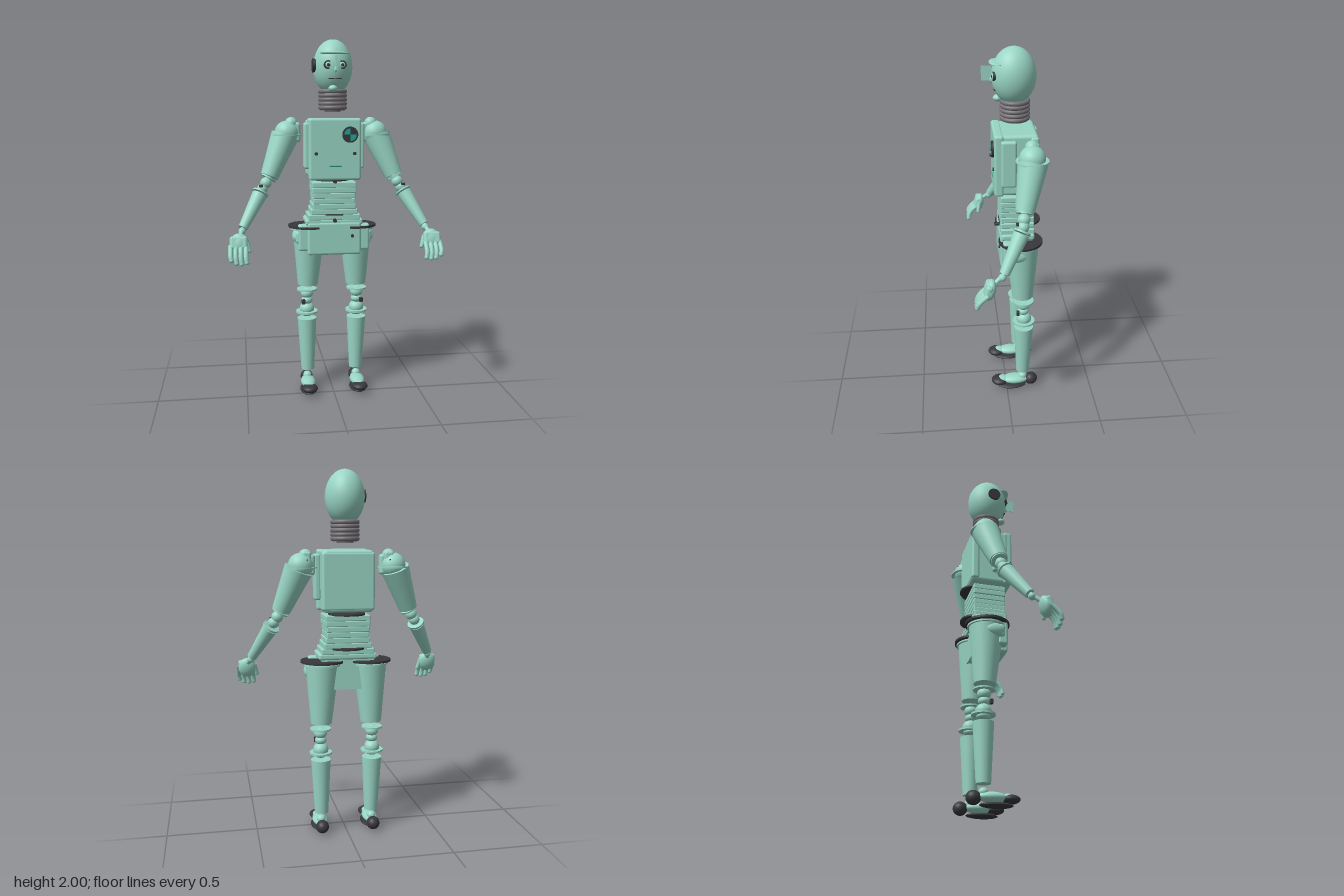
import * as THREE from 'three';
import { RoundedBoxGeometry } from 'three/addons/geometries/RoundedBoxGeometry.js';

const paint = (color) => new THREE.MeshStandardMaterial({ color, side: THREE.DoubleSide });
const green = paint(0x99d6c4), dark = paint(0x38383c), grey = paint(0x787478), teal = paint(0x22a596);
const V = (x, y, z) => new THREE.Vector3(x, y, z);
const UP = V(0, 1, 0);

export function createModel() {
  const model = new THREE.Group();
  let parent = model;

  const add = (name, geometry, material, x, y, z) => {
    const mesh = new THREE.Mesh(geometry, material);
    mesh.name = name;
    mesh.position.set(x, y, z);
    parent.add(mesh);
    return mesh;
  };
  const section = (name) => {
    parent = new THREE.Group();
    parent.name = name;
    model.add(parent);
  };
  const ball = (name, mat, x, y, z, rx, ry = rx, rz = rx) => {
    const m = add(name, new THREE.SphereGeometry(1, 36, 24), mat, x, y, z);
    m.scale.set(rx, ry, rz);
    return m;
  };
  const disc = (name, mat, x, y, z, r, h) => add(name, new THREE.CylinderGeometry(r, r, h, 40), mat, x, y, z);
  const block = (name, mat, x, y, z, w, h, d, r = 0.012) =>
    add(name, new RoundedBoxGeometry(w, h, d, 3, Math.min(r, w / 2.2, h / 2.2, d / 2.2)), mat, x, y, z);
  // Tapered limb running from point a to point b
  const limb = (name, mat, a, b, ra, rb) => {
    const dir = a.clone().sub(b), mid = a.clone().add(b).multiplyScalar(0.5);
    const m = add(name, new THREE.CylinderGeometry(ra, rb, dir.length(), 32), mat, mid.x, mid.y, mid.z);
    m.quaternion.setFromUnitVectors(UP, dir.normalize());
    return m;
  };
  // Round stud facing forward
  const stud = (name, mat, x, y, z, r, d) => {
    const m = disc(name, mat, x, y, z, r, d);
    m.rotation.x = Math.PI / 2;
    return m;
  };

  section('head');
  ball('skull', green, 0, 1.853, -0.047, 0.107, 0.147, 0.115);
  for (const s of [-1, 1]) {
    stud('eyeRing', dark, s * 0.038, 1.86, 0.053, 0.023, 0.018);
    ball('eyeball', green, s * 0.038, 1.86, 0.06, 0.016, 0.016, 0.008);
    ball('pupil', dark, s * 0.038, 1.86, 0.067, 0.008, 0.008, 0.004);
  }
  ball('brow', green, 0, 1.922, 0.04, 0.082, 0.008, 0.04);
  add('noseFin', new THREE.BoxGeometry(0.003, 0.075, 0.055), green, 0, 1.868, 0.092);
  ball('nose', green, 0, 1.835, 0.066, 0.008, 0.016, 0.01);
  add('mouth', new THREE.BoxGeometry(0.07, 0.005, 0.02), dark, 0, 1.788, 0.046);
  ball('chin', green, -0.01, 1.737, 0.035, 0.024, 0.018, 0.025);
  const ear = disc('earDisc', dark, -0.105, 1.86, -0.03, 0.036, 0.018);
  ear.rotation.z = Math.PI / 2;

  section('neck');
  disc('neckCore', grey, 0, 1.675, -0.053, 0.066, 0.11);
  for (let i = 0; i < 5; i++) {
    const ring = add('neckRing', new THREE.TorusGeometry(0.067, 0.0125, 12, 40), grey, 0, 1.635 + i * 0.022, -0.053);
    ring.rotation.x = Math.PI / 2;
  }
  disc('neckBase', dark, 0, 1.618, -0.053, 0.045, 0.008);

  section('chest');
  block('ribCage', green, 0, 1.412, -0.055, 0.27, 0.33, 0.22, 0.018);
  block('chestPlate', green, 0, 1.412, 0.04, 0.285, 0.335, 0.05, 0.014);
  block('backPlate', green, 0, 1.412, -0.145, 0.285, 0.31, 0.045, 0.014);
  for (const s of [-1, 1]) {
    block('sidePlate', green, s * 0.148, 1.43, -0.01, 0.036, 0.25, 0.08);
    stud('chestStud', dark, s * 0.105, 1.39, 0.066, 0.009, 0.012);
  }
  stud('targetDisc', dark, 0.08, 1.492, 0.067, 0.043, 0.018);
  for (let i = 0; i < 2; i++)
    add('targetQuarter', new THREE.CircleGeometry(0.034, 16, Math.PI / 2 + i * Math.PI, Math.PI / 2), teal, 0.08, 1.492, 0.0775);
  block('chestSlot', teal, 0, 1.322, 0.066, 0.065, 0.008, 0.008);

  // Layered waist between two dark plates
  section('waist');
  [0.122, 0.122, 0.117, 0.116, 0.121, 0.13, 0.145].forEach((half, i) =>
    block('waistLayer', green, 0, 1.215 - i * 0.03, -0.06, half * 2, 0.032, 0.18, 0.006));
  for (const y of [1.235, 1.05]) {
    const plate = disc('spinePlate', dark, 0, y, -0.1, 0.1, 0.01);
    if (y < 1.1) plate.scale.z = 0.97;
  }
  stud('upperWaistStud', dark, 0, 1.237, 0.045, 0.01, 0.03);
  stud('lowerWaistStud', dark, 0, 1.02, 0.042, 0.01, 0.03);
  block('frontLip', dark, 0, 1.05, 0.028, 0.1, 0.008, 0.012);

  section('pelvis');
  block('pelvisTop', green, 0, 1.008, -0.06, 0.32, 0.035, 0.18);
  block('pelvisPlate', green, 0, 0.915, 0.01, 0.3, 0.185, 0.05, 0.014);
  block('pelvisBand', green, 0, 0.92, -0.005, 0.4, 0.15, 0.055, 0.014);
  // Wedge that narrows between the thighs
  const wedge = new THREE.Shape([[-0.15, 1], [0.15, 1], [0.12, 0.9], [0.075, 0.825], [-0.075, 0.825], [-0.12, 0.9]]
    .map(([x, y]) => new THREE.Vector2(x, y)));
  add('pelvisWedge', new THREE.ExtrudeGeometry(wedge, { depth: 0.14, bevelEnabled: false }), green, 0, 0, -0.14);
  stud('pelvisStud', dark, 0.1, 0.93, 0.036, 0.009, 0.01);

  for (const s of [-1, 1]) {
    const side = s > 0 ? 'left' : 'right';
    const P = (x, y, z) => V(s * x, y, z);

    section(side + 'Leg');
    block('hipBlock', green, s * 0.19, 0.92, -0.055, 0.05, 0.075, 0.12, 0.02);
    ball('hipCap', green, s * 0.205, 0.92, -0.055, 0.025, 0.036, 0.055);
    disc('hipPlate', dark, s * 0.13, 0.976, -0.076, 0.12, 0.012);
    disc('hipRim', green, s * 0.13, 0.96, -0.08, 0.105, 0.01);
    limb('thigh', green, P(0.132, 0.955, -0.082), P(0.14, 0.63, -0.09), 0.093, 0.058);
    disc('upperKneePlate', green, s * 0.145, 0.598, -0.095, 0.058, 0.009);
    ball('upperKneeBall', green, s * 0.145, 0.575, -0.095, 0.036, 0.032, 0.036);
    limb('kneePin', green, P(0.145, 0.58, -0.095), P(0.145, 0.47, -0.095), 0.023, 0.023);
    ball('kneeBall', green, s * 0.145, 0.535, -0.095, 0.032, 0.025, 0.032);
    block('kneeSensor', dark, s * 0.168, 0.53, -0.062, 0.02, 0.028, 0.016, 0.003);
    ball('lowerKneeBall', green, s * 0.145, 0.482, -0.098, 0.042, 0.04, 0.042);
    disc('lowerKneePlate', green, s * 0.145, 0.464, -0.098, 0.063, 0.01);
    ball('shinSocket', green, s * 0.145, 0.455, -0.098, 0.036, 0.02, 0.036);
    limb('shin', green, P(0.145, 0.425, -0.098), P(0.142, 0.115, -0.095), 0.055, 0.038);
    ball('ankle', green, s * 0.145, 0.075, -0.095, 0.025, 0.022, 0.025);
    ball('heel', dark, s * 0.145, 0.046, -0.145, 0.036, 0.036, 0.038);
    ball('instep', green, s * 0.145, 0.052, -0.05, 0.042, 0.026, 0.08);
    ball('sole', dark, s * 0.145, 0.014, -0.03, 0.048, 0.014, 0.085);
    ball('toe', dark, s * 0.145, 0.046, 0.042, 0.046, 0.023, 0.048);
    ball('toeCap', green, s * 0.145, 0.052, 0.025, 0.032, 0.021, 0.035);

    section(side + 'Arm');
    const shoulder = P(0.262, 1.477, -0.12), armEnd = P(0.352, 1.257, -0.072);
    const elbow = P(0.402, 1.172, -0.055), wrist = P(0.505, 0.99, 0.045);
    disc('shoulderPlate', green, s * 0.253, 1.485, -0.118, 0.085, 0.008);
    ball('shoulderBall', green, s * 0.25, 1.495, -0.118, 0.068);
    ball('collarBall', green, s * 0.225, 1.548, -0.118, 0.035);
    block('collarBracket', green, s * 0.222, 1.53, -0.135, 0.05, 0.08, 0.04, 0.014);
    block('shoulderLink', green, s * 0.197, 1.5, -0.115, 0.045, 0.11, 0.05, 0.016);
    block('collarPin', dark, s * 0.222, 1.51, -0.163, 0.01, 0.04, 0.02, 0.003);
    limb('upperArm', green, shoulder, armEnd, 0.077, 0.05);
    limb('upperElbowPlate', green, armEnd.clone().lerp(elbow, 0.05), armEnd.clone().lerp(elbow, 0.13), 0.045, 0.045);
    limb('elbowPin', green, armEnd, elbow, 0.022, 0.02);
    ball('elbowBall', green, s * 0.372, 1.222, -0.065, 0.032);
    ball('forearmBall', green, s * 0.392, 1.19, -0.06, 0.03);
    block('elbowSensor', dark, s * 0.4, 1.21, -0.03, 0.022, 0.014, 0.014, 0.003);
    limb('forearmPlate', green, elbow, elbow.clone().lerp(wrist, 0.04), 0.046, 0.046);
    limb('forearm', green, elbow.clone().lerp(wrist, 0.07), wrist, 0.042, 0.026);
    ball('wristBall', green, s * 0.51, 0.975, 0.055, 0.02);
    limb('wristPin', green, wrist, P(0.525, 0.945, 0.1), 0.012, 0.012);

    // Hand hanging forward, fingers slightly curled
    const palm = ball('palm', green, s * 0.527, 0.918, 0.118, 0.05, 0.057, 0.03);
    palm.rotation.x = -0.25;
    const knuckles = block('knuckles', green, s * 0.53, 0.925, 0.127, 0.095, 0.07, 0.034, 0.014);
    knuckles.rotation.x = -0.3;
    for (let i = 0; i < 4; i++) {
      const x = 0.492 + i * 0.027, drop = [0.006, 0, 0.004, 0.02][i];
      const path = new THREE.CatmullRomCurve3([P(x, 0.91, 0.128), P(x, 0.882, 0.16), P(x, 0.85 + drop / 2, 0.178), P(x - 0.004, 0.822 + drop, 0.184)]);
      add('finger', new THREE.TubeGeometry(path, 12, 0.0125, 12), green, 0, 0, 0);
      ball('fingerTip', green, s * (x - 0.004), 0.822 + drop, 0.184, 0.0125);
    }
    const thumb = [P(0.49, 0.935, 0.115), P(0.474, 0.88, 0.125)];
    limb('thumb', green, ...thumb, 0.014, 0.011);
    ball('thumbTip', green, thumb[1].x, thumb[1].y, thumb[1].z, 0.011);
  }
  return model;
}
